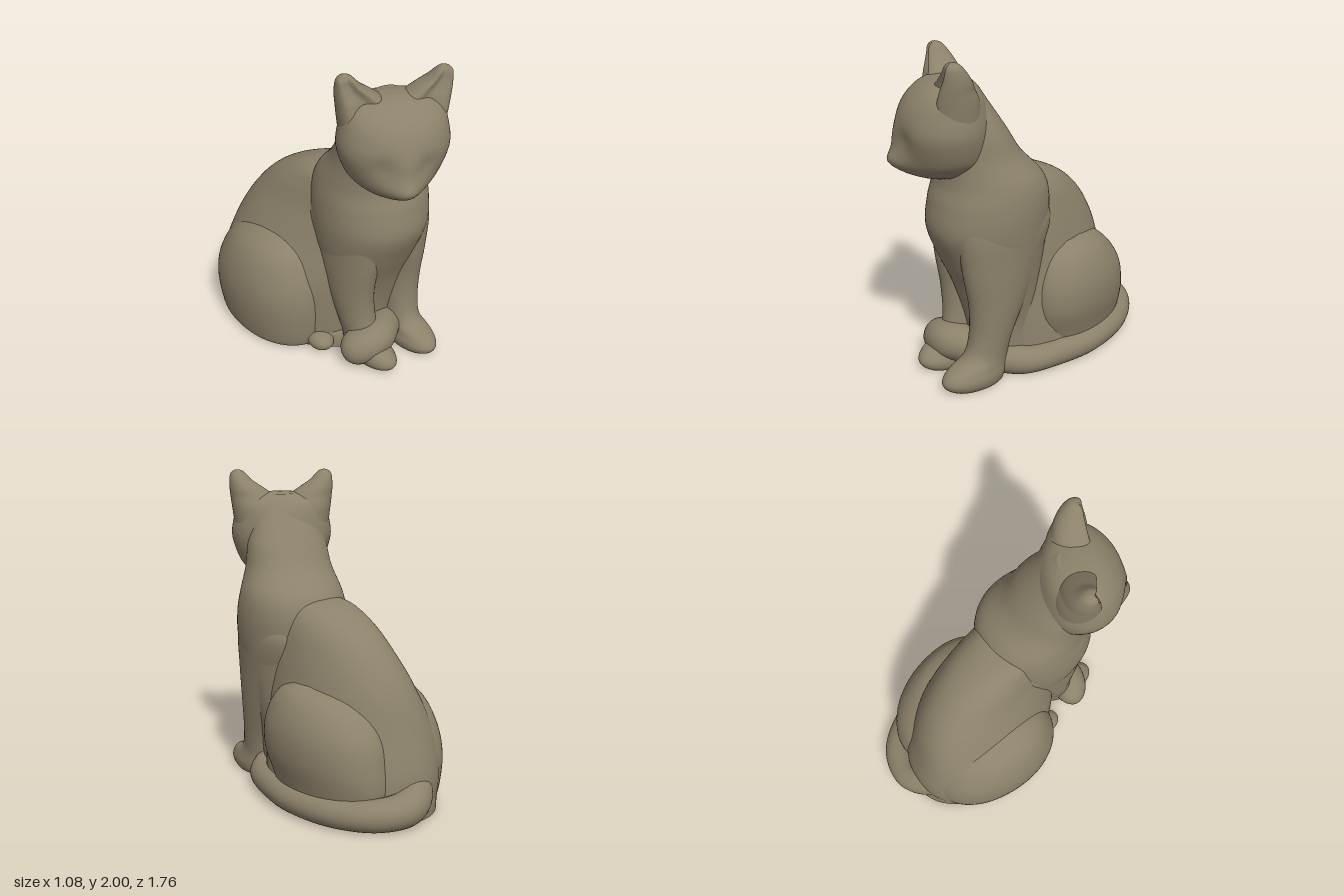
import * as THREE from 'three';
import { mergeVertices } from 'three/addons/utils/BufferGeometryUtils.js';

const coat = new THREE.MeshStandardMaterial({ color: 0x8c826b });
coat.name = 'stone coat';

// smooth value through the rows at position u (0..rows-1)
function rowAt(rows, u) {
  const i = Math.min(Math.floor(u), rows.length - 2), t = u - i;
  const row = k => rows[Math.max(0, Math.min(rows.length - 1, k))];
  const [a, b, c, d] = [row(i - 1), row(i), row(i + 1), row(i + 2)];
  return b.map((v, k) => v + 0.5 * t * (c[k] - a[k]
    + t * (2 * a[k] - 5 * v + 4 * c[k] - d[k] + t * (3 * (v - c[k]) + d[k] - a[k]))));
}

// stack of rounded sections; row = [y, xMin, xMax, zMin, zMax]; bulge(x, y) adds to the front
function loft(rows, { e = 2, shear = 0, dent = 0, bulge = () => 0, steps = 8, n = 64 } = {}) {
  const pos = [], idx = [], count = (rows.length - 1) * steps;
  const ring = ([y, x0, x1, z0, z1]) => {
    for (let j = 0; j < n; j++) {
      const t = j / n * Math.PI * 2, c = Math.cos(t), s = Math.sin(t);
      const px = Math.sign(c) * Math.abs(c) ** (2 / e);
      let pz = Math.sign(s) * Math.abs(s) ** (2 / e);
      if (s > 0) pz *= 1 - dent * s ** 6;
      const dz = pz * (z1 - z0) / 2, x = (x0 + x1) / 2 + px * (x1 - x0) / 2 + shear * dz;
      pos.push(x, Math.max(0, y), (z0 + z1) / 2 + dz + Math.max(0, s) * bulge(x, y));
    }
  };
  for (let i = 0; i <= count; i++) ring(rowAt(rows, i / steps));
  for (let i = 0; i < count; i++) for (let j = 0; j < n; j++) {
    const a = i * n + j, b = i * n + (j + 1) % n;
    idx.push(a, a + n, b, b, a + n, b + n);
  }
  const middle = ([y, x0, x1, z0, z1]) => pos.push((x0 + x1) / 2, y, (z0 + z1) / 2);
  const base = pos.length / 3;              // flat underside with its own ring
  ring(rows[0]);
  middle(rows[0]);
  middle(rows[rows.length - 1]);
  for (let j = 0; j < n; j++) {
    const k = (j + 1) % n;
    idx.push(base + n, base + j, base + k, base + n + 1, count * n + k, count * n + j);
  }
  const g = new THREE.BufferGeometry();
  g.setAttribute('position', new THREE.Float32BufferAttribute(pos, 3));
  g.setIndex(idx);
  g.computeVertexNormals();
  return g;
}

function add(parent, name, geometry) {
  const m = new THREE.Mesh(geometry, coat);
  m.name = name;
  parent.add(m);
}

// tapering tube with rounded ends, flattened where it rests on the ground
function tailGeometry() {
  const curve = new THREE.CatmullRomCurve3([
    [-0.17, 0.2, -0.5], [-0.15, 0.15, -0.66], [-0.04, 0.11, -0.765], [0.15, 0.095, -0.745],
    [0.33, 0.085, -0.56], [0.44, 0.08, -0.25], [0.445, 0.08, 0.02], [0.4, 0.08, 0.24],
    [0.28, 0.1, 0.36], [0.15, 0.15, 0.47], [0.03, 0.16, 0.55], [-0.08, 0.13, 0.53], [-0.12, 0.08, 0.44],
  ].map(p => new THREE.Vector3(...p)));
  const segs = 200, sides = 28;
  let g = new THREE.TubeGeometry(curve, segs, 1, sides, false);
  const p = g.attributes.position, v = new THREE.Vector3();
  for (let i = 0; i <= segs; i++) {
    const u = i / segs, c = curve.getPointAt(u);
    const end = Math.max(0, 1 - Math.min(u, 1 - u) / 0.045);
    const r = (0.085 + 0.06 * (1 - u) ** 6 + 0.033 * THREE.MathUtils.smoothstep(u, 0.65, 0.85))
      * Math.sqrt(Math.max(0.0001, 1 - end * end));
    for (let j = 0; j <= sides; j++) {
      const k = i * (sides + 1) + j;
      v.fromBufferAttribute(p, k).sub(c).multiplyScalar(r).add(c);
      p.setXYZ(k, v.x, Math.max(0, v.y), v.z);
    }
  }
  g.deleteAttribute('uv');
  g.deleteAttribute('normal');
  g = mergeVertices(g, 1e-5);
  g.computeVertexNormals();
  return g;
}

export function createModel() {
  const cat = new THREE.Group();
  cat.name = 'sittingCat';

  // flat seat filling the ground between haunches, tail and front legs
  add(cat, 'seat', loft([
    [0, -0.42, 0.45, -0.76, 0.42], [0.07, -0.42, 0.45, -0.76, 0.42],
    [0.12, -0.4, 0.43, -0.74, 0.4], [0.16, -0.34, 0.38, -0.67, 0.34],
  ], { shear: 0.2 }));

  // back and belly, leaning along the slanted spine
  add(cat, 'torso', loft([
    [0, -0.42, 0.43, -0.72, 0.34], [0.04, -0.43, 0.44, -0.735, 0.36], [0.25, -0.44, 0.43, -0.745, 0.38],
    [0.5, -0.41, 0.4, -0.685, 0.4], [0.75, -0.31, 0.37, -0.605, 0.42], [0.95, -0.22, 0.345, -0.485, 0.44],
    [1.1, -0.16, 0.325, -0.33, 0.44], [1.2, -0.1, 0.29, -0.14, 0.4], [1.24, 0, 0.22, 0.02, 0.3],
  ], { shear: 0.18, e: 2.15 }));

  // chest running up into the neck
  add(cat, 'chestAndNeck', loft([
    [0, -0.05, 0.38, 0, 0.42], [0.3, -0.05, 0.38, 0, 0.47], [0.55, -0.12, 0.42, 0, 0.535],
    [0.75, -0.18, 0.455, -0.02, 0.62], [0.95, -0.205, 0.48, -0.05, 0.695], [1.12, -0.2, 0.485, -0.05, 0.68],
    [1.25, -0.18, 0.465, -0.005, 0.645], [1.4, -0.155, 0.405, 0.135, 0.64], [1.55, -0.15, 0.37, 0.23, 0.64],
    [1.7, -0.13, 0.31, 0.325, 0.64], [1.8, -0.1, 0.26, 0.39, 0.62], [1.85, 0, 0.18, 0.44, 0.58],
  ], { e: 2.1 }));

  // front legs with paws
  const leg = [
    [0, 0.22, 0.42, 0.36, 0.73], [0.03, 0.205, 0.435, 0.35, 0.77], [0.07, 0.2, 0.44, 0.34, 0.78],
    [0.12, 0.21, 0.43, 0.33, 0.74], [0.18, 0.205, 0.42, 0.32, 0.62], [0.3, 0.2, 0.43, 0.29, 0.575],
    [0.5, 0.19, 0.45, 0.2, 0.575], [0.75, 0.16, 0.465, 0.08, 0.615], [1, 0.15, 0.47, 0, 0.63],
    [1.2, 0.22, 0.4, 0.12, 0.55],
  ];
  add(cat, 'leftFrontLeg', loft(leg));
  add(cat, 'rightFrontLeg', loft(leg.map(([y, x0, x1, z0, z1]) => {
    const c = 0.28 + 0.06 * Math.exp(-4 * y);
    return [y, c - x1, c - x0, z0 - 0.03, z1 - 0.03];
  })));

  // haunches and the visible hind paw
  add(cat, 'rightHaunch', loft([
    [0, -0.47, 0.1, -0.62, 0.2], [0.05, -0.51, 0.11, -0.66, 0.23], [0.25, -0.54, 0.12, -0.68, 0.25],
    [0.42, -0.535, 0.12, -0.65, 0.245], [0.58, -0.49, 0.1, -0.57, 0.2], [0.68, -0.425, 0.05, -0.47, 0.14],
    [0.75, -0.33, 0, -0.35, 0.05], [0.78, -0.24, -0.08, -0.24, -0.04],
  ], { e: 2.15 }));
  add(cat, 'leftHaunch', loft([
    [0.03, -0.02, 0.42, -0.68, 0.04], [0.2, -0.02, 0.465, -0.72, 0.09], [0.35, -0.02, 0.505, -0.71, 0.125],
    [0.5, -0.02, 0.51, -0.67, 0.125], [0.63, 0, 0.48, -0.58, 0.09], [0.72, 0.05, 0.43, -0.46, 0.03],
    [0.77, 0.15, 0.36, -0.29, -0.07],
  ], { shear: 0.22, e: 2.1 }));
  add(cat, 'rightHindPaw', new THREE.SphereGeometry(1, 40, 28).scale(0.08, 0.06, 0.1).translate(-0.19, 0.06, 0.26));

  // tail around the side, its tip over the right paw
  add(cat, 'tail', tailGeometry());

  // head, turned to one side
  const head = new THREE.Group();
  head.name = 'head';
  head.position.set(0.08, 0, 0.57);
  head.rotation.y = -0.41;
  cat.add(head);

  // skull with muzzle, nose bridge and shallow eye sockets swelling from the face
  const swell = (x, y, cx, cy, rx, ry) => Math.exp(-(((x - cx) / rx) ** 2) - ((y - cy) / ry) ** 2);
  const face = (x, y) => 0.08 * swell(x, y, 0, 1.385, 0.13, 0.075) + 0.025 * swell(x, y, 0, 1.5, 0.07, 0.1)
    - 0.015 * (swell(x, y, 0.13, 1.54, 0.07, 0.06) + swell(x, y, -0.13, 1.54, 0.07, 0.06));
  add(head, 'skullAndMuzzle', loft([
    [1.275, -0.05, 0.05, -0.06, 0.08], [1.3, -0.14, 0.14, -0.15, 0.16], [1.34, -0.205, 0.205, -0.2, 0.22],
    [1.42, -0.275, 0.275, -0.25, 0.255], [1.57, -0.325, 0.325, -0.26, 0.28], [1.7, -0.31, 0.31, -0.24, 0.25],
    [1.79, -0.28, 0.28, -0.2, 0.18], [1.84, -0.2, 0.2, -0.14, 0.1], [1.86, -0.07, 0.07, -0.06, 0.02],
  ], { bulge: face }));

  // ears with a hollow front, spreading toward the crown
  const ear = [
    [1.6, 0, 0.3, -0.18, 0.13], [1.75, 0.01, 0.32, -0.17, 0.13], [1.83, 0.045, 0.33, -0.14, 0.11],
    [1.88, 0.11, 0.335, -0.12, 0.09], [1.93, 0.185, 0.335, -0.09, 0.07], [1.97, 0.225, 0.33, -0.06, 0.055],
    [1.992, 0.25, 0.312, -0.035, 0.03], [2, 0.275, 0.29, -0.01, 0.005],
  ];
  add(head, 'leftEar', loft(ear, { dent: 0.5 }));
  add(head, 'rightEar', loft(ear.map(([y, x0, x1, z0, z1]) => [y, -x1, -x0, z0, z1]), { dent: 0.5 }));

  return cat;
}
